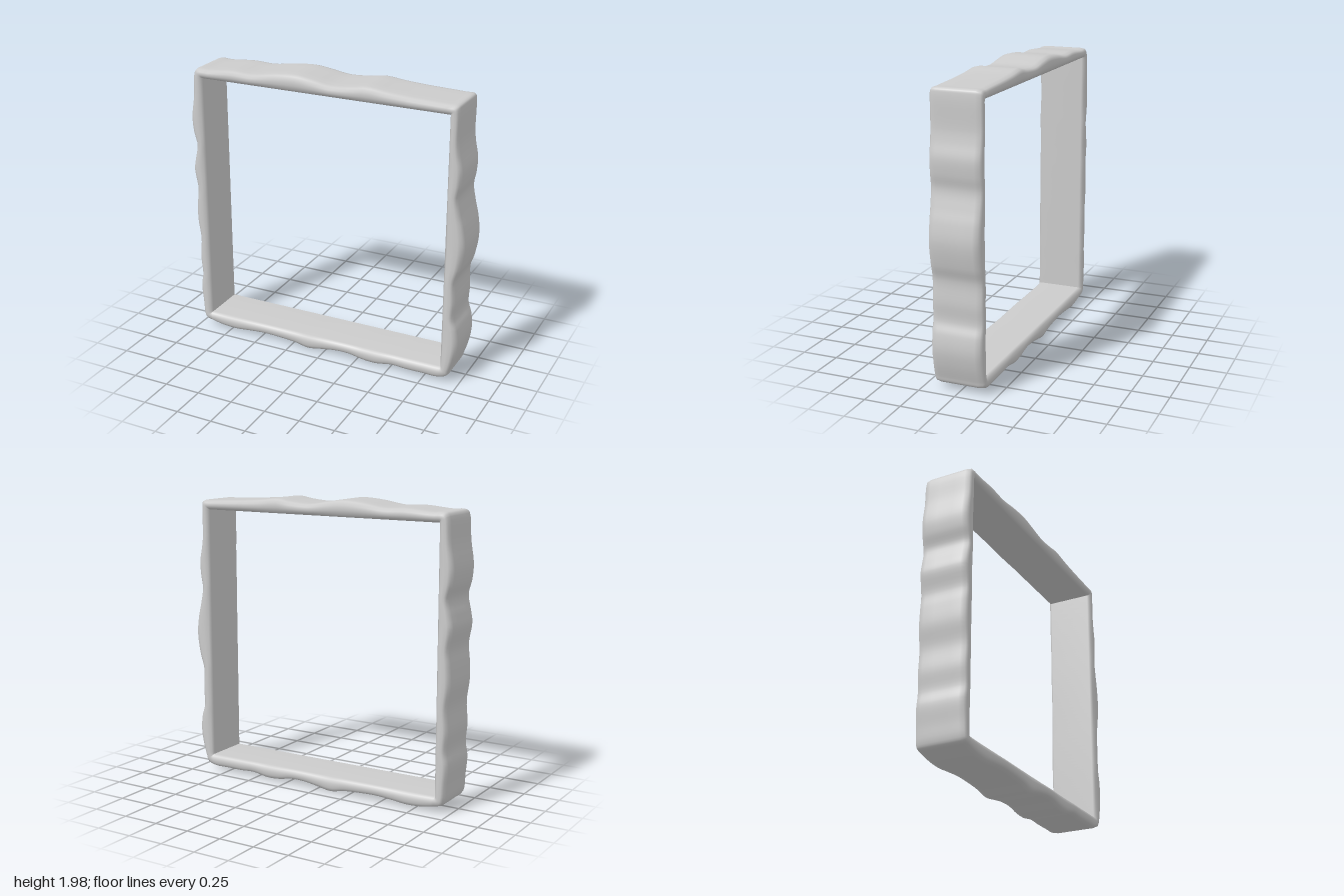
import * as THREE from 'three';

// Uneven outer edge, counter-clockwise as seen from the front: x, y pairs per side
const bottom = [-.95, .065, -.9, .05, -.8, .03, -.7, .025, -.6, .035, -.47, .045, -.33, .04, -.22, .03, -.12, .01,
  0, .03, .1, .045, .2, .045, .3, .025, .4, .02, .52, .04, .62, .035, .75, .035, .85, .035, .92, .06];
const left = [.935, .1, .965, .2, .98, .3, .97, .4, .945, .48, .95, .6, .945, .75, .975, .85, .998, 1, .985, 1.12,
  .96, 1.22, .94, 1.33, .955, 1.42, .96, 1.52, .94, 1.62, .93, 1.7, .93, 1.9];
const top = [.92, 1.94, .85, 1.945, .6, 1.955, .45, 1.965, .3, 1.98, .2, 1.965, .05, 1.955, -.08, 1.975, -.2, 1.99,
  -.35, 1.98, -.52, 1.955, -.67, 1.96, -.85, 1.945, -.94, 1.945];
const right = [-.96, 1.92, -.975, 1.75, -.998, 1.6, -.99, 1.5, -.965, 1.4, -.985, 1.3, -.998, 1.22, -.975, 1.08,
  -.985, .98, -.99, .85, -.97, .7, -.98, .55, -.97, .42, -.985, .33, -.975, .2, -.965, .09];

// Cross-section: [0 at the opening .. 1 at the outer edge, z]
const half = [[0, .15], [.15, .166], [.4, .175], [.7, .174], [.92, .162], [1, .13], [1, .06]];
const section = [...half, ...half.map(([t, z]) => [t, -z]).reverse()];

function frameGeometry() {
  const points = [];
  for (const side of [bottom, left, top, right])
    for (let i = 0; i < side.length; i += 2) points.push(new THREE.Vector3(side[i], side[i + 1], 0));
  const curve = new THREE.CatmullRomCurve3(points, true, 'centripetal');
  const rings = points.length * 5, n = section.length;
  const positions = [], index = [];

  for (let i = 0; i < rings; i++) {
    const outer = curve.getPoint(i / rings);
    // nearest point of the straight rectangular opening
    const inner = new THREE.Vector3(
      THREE.MathUtils.clamp(outer.x, -.9, .87), THREE.MathUtils.clamp(outer.y, .12, 1.88), 0);
    for (const [t, z] of section) {
      const p = inner.clone().lerp(outer, t);
      positions.push(p.x, p.y, z);
    }
    const next = (i + 1) % rings;
    for (let j = 0; j < n; j++) {
      const k = (j + 1) % n;
      const a = i * n + j, b = i * n + k, c = next * n + k, d = next * n + j;
      index.push(a, b, d, b, c, d);
    }
  }
  const geometry = new THREE.BufferGeometry();
  geometry.setAttribute('position', new THREE.Float32BufferAttribute(positions, 3));
  geometry.setIndex(index);
  geometry.computeVertexNormals();
  return geometry;
}

export function createModel() {
  const model = new THREE.Group();
  model.name = 'wavyFrame';
  const frame = new THREE.Mesh(frameGeometry(), new THREE.MeshStandardMaterial({ color: 0xcccccc }));
  frame.name = 'frame';
  model.add(frame);
  return model;
}
